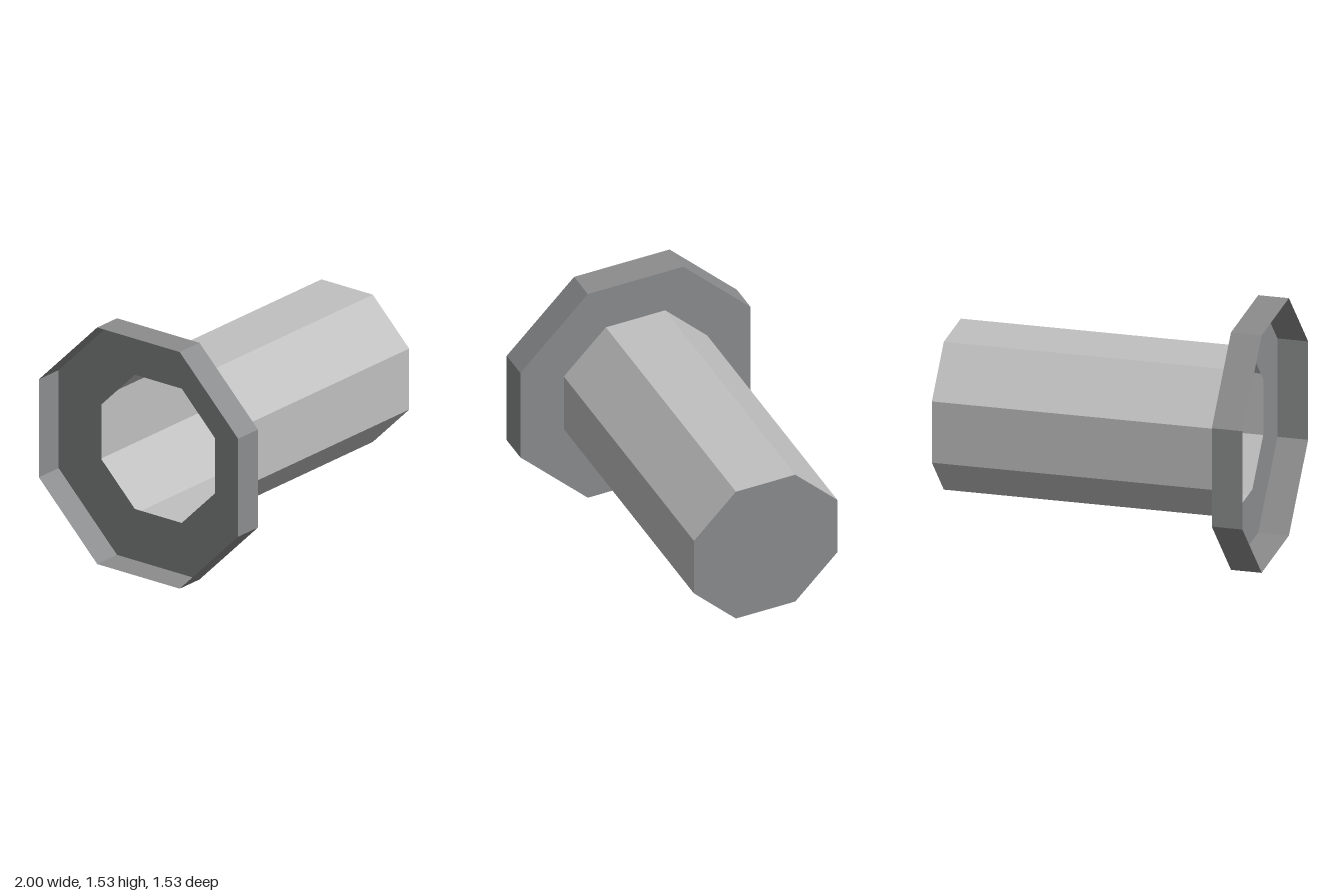
import * as THREE from 'three';

const SIDES = 8;
const TURN = Math.PI / SIDES;
const FLANGE = 0.763, SHAFT = 0.475, HOLE = 0.433; // half widths across flats
const BACK = -1, STEP = -0.81, END = 1;            // stations along x
const radius = (halfWidth) => halfWidth / Math.cos(TURN);

export function createModel() {
  const group = new THREE.Group();
  const make = (name, color) => {
    const m = new THREE.MeshStandardMaterial({ color, flatShading: true, side: THREE.DoubleSide });
    m.name = name;
    return m;
  };
  const lightGrey = make('lightGrey', 0xc0c0c0);
  const darkGrey = make('darkGrey', 0x8c8d8e);

  const add = (name, geometry, material, x) => {
    const mesh = new THREE.Mesh(geometry, material);
    mesh.name = name;
    mesh.position.set(x, FLANGE, 0);
    group.add(mesh);
  };
  // Open octagonal wall lying along x, flats facing up and forward
  const wall = (name, halfWidth, x0, x1, material) => {
    const r = radius(halfWidth);
    const g = new THREE.CylinderGeometry(r, r, x1 - x0, SIDES, 1, true, TURN).rotateZ(-Math.PI / 2);
    add(name, g, material, (x0 + x1) / 2);
  };

  wall('flangeRim', FLANGE, BACK, STEP, darkGrey);
  wall('shaft', SHAFT, STEP, END, lightGrey);

  // Flange face with an octagonal opening into the hollow shaft
  add('flangeFace', new THREE.RingGeometry(radius(HOLE), radius(FLANGE), SIDES, 1, TURN)
    .rotateY(Math.PI / 2), darkGrey, STEP);

  // Closed end of the shaft
  add('endCap', new THREE.CircleGeometry(radius(SHAFT), SIDES, TURN)
    .rotateY(Math.PI / 2), darkGrey, END);

  return group;
}
